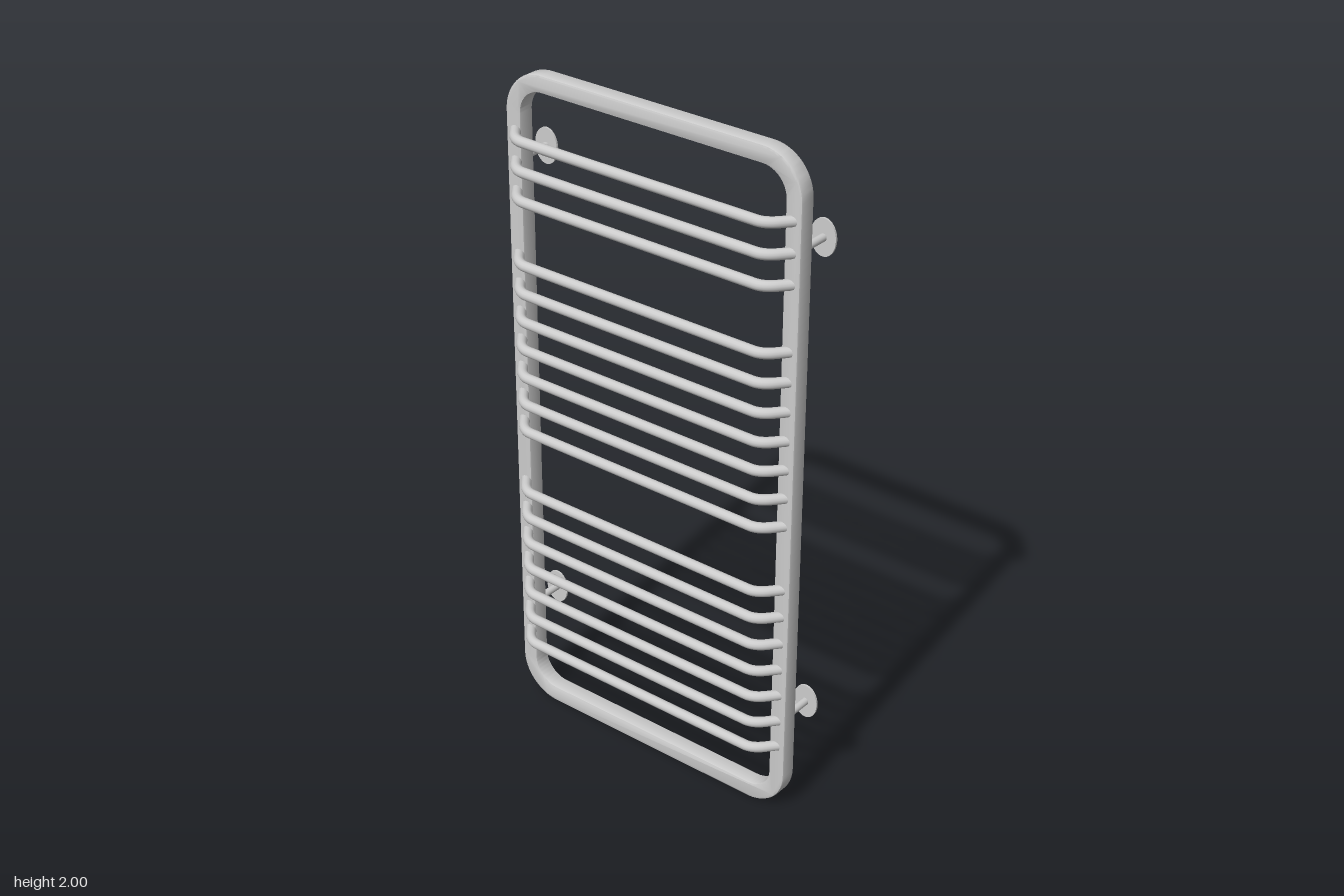
import * as THREE from 'three';
import { toCreasedNormals } from 'three/addons/utils/BufferGeometryUtils.js';

const material = new THREE.MeshStandardMaterial({ color: 0xcccccc });

function addMesh(parent, geometry, name) {
  const mesh = new THREE.Mesh(geometry, material);
  mesh.name = name;
  parent.add(mesh);
  return mesh;
}

// Rounded rectangle outline centred on the origin
function roundedRect(target, w, h, r) {
  const x = w / 2, y = h / 2;
  target.moveTo(x, -y + r);
  target.lineTo(x, y - r);
  target.absarc(x - r, y - r, r, 0, Math.PI / 2);
  target.lineTo(-x + r, y);
  target.absarc(-x + r, y - r, r, Math.PI / 2, Math.PI);
  target.lineTo(-x, -y + r);
  target.absarc(-x + r, -y + r, r, Math.PI, Math.PI * 1.5);
  target.lineTo(x - r, -y);
  target.absarc(x - r, -y + r, r, Math.PI * 1.5, Math.PI * 2);
  return target;
}

// Square-tube frame with softened edges
function frameGeometry() {
  const wall = 0.05, depth = 0.051, bevel = 0.006;
  const shape = roundedRect(new THREE.Shape(), 0.97, 2, 0.125);
  shape.holes.push(roundedRect(new THREE.Path(), 0.97 - 2 * wall, 2 - 2 * wall, 0.125 - wall));
  const geometry = new THREE.ExtrudeGeometry(shape, {
    depth: depth - 2 * bevel, curveSegments: 10,
    bevelEnabled: true, bevelThickness: bevel, bevelSize: bevel, bevelOffset: -bevel, bevelSegments: 2,
  });
  geometry.translate(0, 1, -0.017 + bevel);
  return toCreasedNormals(geometry, 0.5);
}

// Rail that slants forward from the frame, then runs straight across
function railGeometry() {
  const v = (x, z) => new THREE.Vector3(x, 0, z);
  const zBack = 0.025, zFront = 0.083;
  const path = new THREE.CurvePath();
  path.add(new THREE.LineCurve3(v(-0.46, zBack), v(-0.436, 0.054)));
  path.add(new THREE.QuadraticBezierCurve3(v(-0.436, 0.054), v(-0.412, zFront), v(-0.385, zFront)));
  path.add(new THREE.LineCurve3(v(-0.385, zFront), v(0.385, zFront)));
  path.add(new THREE.QuadraticBezierCurve3(v(0.385, zFront), v(0.412, zFront), v(0.436, 0.054)));
  path.add(new THREE.LineCurve3(v(0.436, 0.054), v(0.46, zBack)));
  return new THREE.TubeGeometry(path, 120, 0.015, 14);
}

export function createModel() {
  const model = new THREE.Group();
  model.name = 'towelRadiator';
  addMesh(model, frameGeometry(), 'frame');

  // Three banks of rails: lowest height and count
  const rail = railGeometry();
  const pitch = 0.0865;
  const banks = [[0.222, 7], [0.942, 7], [1.65, 3]];
  banks.forEach(([start, count], b) => {
    const bank = new THREE.Group();
    bank.name = `railBank${b + 1}`;
    for (let i = 0; i < count; i++) {
      addMesh(bank, rail, 'rail').position.y = start + i * pitch;
    }
    model.add(bank);
  });

  // Wall brackets: a round post and an oval plate near each corner
  const post = new THREE.CylinderGeometry(0.011, 0.011, 0.085, 20).rotateX(Math.PI / 2);
  const plate = new THREE.CylinderGeometry(0.039, 0.039, 0.006, 32).rotateX(Math.PI / 2).scale(1, 1.36, 1);
  for (const side of [-1, 1]) {
    for (const y of [0.305, 1.735]) {
      const bracket = new THREE.Group();
      bracket.name = 'wallBracket';
      bracket.position.set(side * 0.461, y, 0);
      addMesh(bracket, post, 'bracketPost').position.z = -0.0545;
      addMesh(bracket, plate, 'wallPlate').position.z = -0.098;
      model.add(bracket);
    }
  }
  return model;
}
